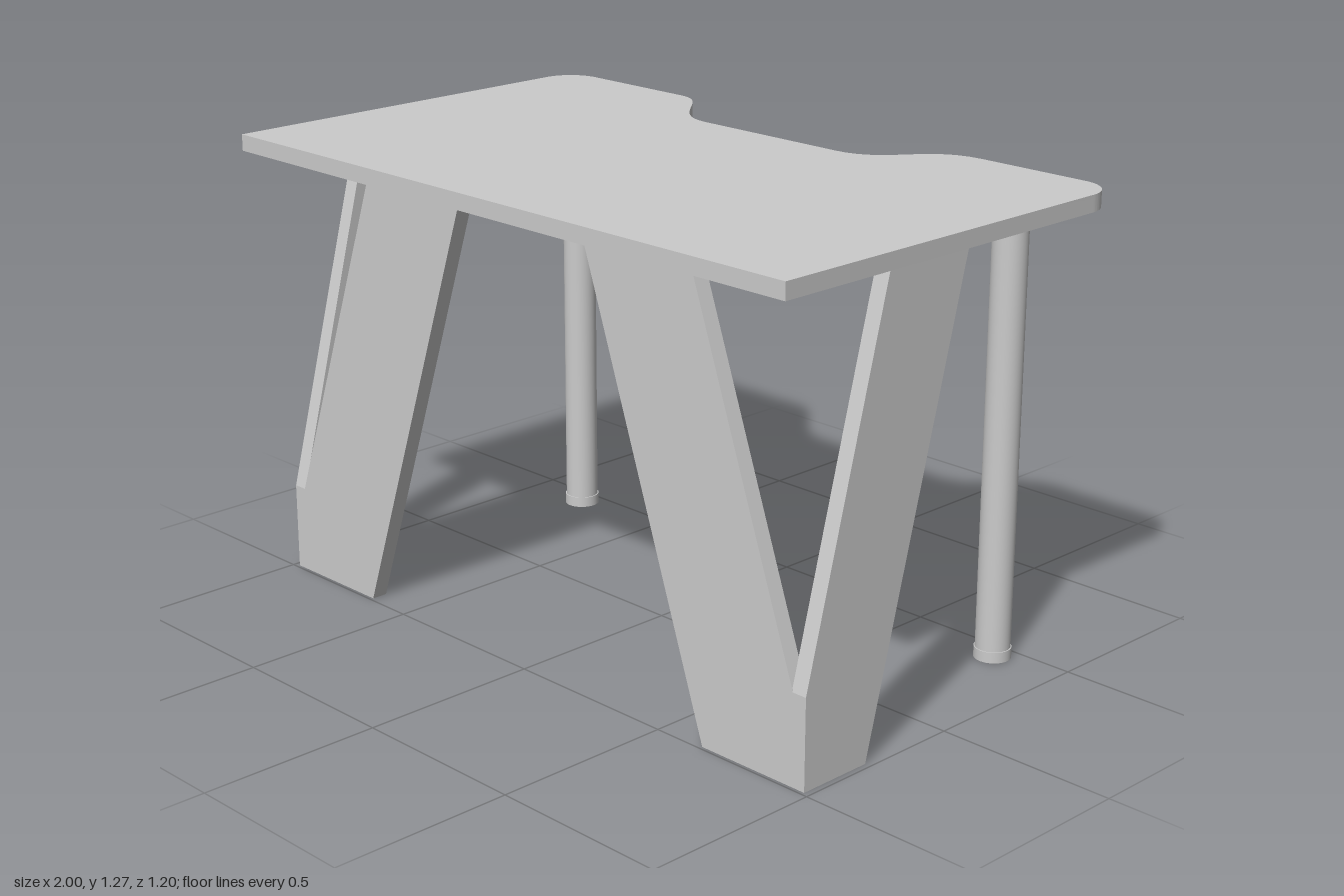
import * as THREE from 'three';
import { toCreasedNormals } from 'three/addons/utils/BufferGeometryUtils.js';

const material = new THREE.MeshStandardMaterial({ color: 0xcccccc });
const TOP_Y = 1.23, TOP_THICK = 0.045, PANEL = 0.045;

function addMesh(parent, name, geometry, x = 0, y = 0, z = 0) {
  const mesh = new THREE.Mesh(geometry, material);
  mesh.name = name;
  mesh.position.set(x, y, z);
  parent.add(mesh);
  return mesh;
}

function extrude(shape, depth) {
  return new THREE.ExtrudeGeometry(shape, { depth, bevelEnabled: false, curveSegments: 14 });
}

function polygon(points) {
  return new THREE.Shape(points.map(([x, y]) => new THREE.Vector2(x, y)));
}

// Desk top outline, drawn with the back edge towards +y
function tabletop() {
  const s = new THREE.Shape();
  s.moveTo(-1, -0.6);
  s.lineTo(1, -0.6);
  s.lineTo(1, 0.5);
  s.absarc(0.9, 0.5, 0.1, 0, Math.PI / 2);
  s.lineTo(0.57, 0.6);
  s.bezierCurveTo(0.38, 0.6, 0.42, 0.4, 0.24, 0.4);
  s.lineTo(-0.24, 0.4);
  s.bezierCurveTo(-0.38, 0.4, -0.42, 0.6, -0.53, 0.6);
  s.lineTo(-0.9, 0.6);
  s.absarc(-0.9, 0.5, 0.1, Math.PI / 2, Math.PI);
  s.closePath();
  return toCreasedNormals(extrude(s, TOP_THICK).rotateX(-Math.PI / 2), 0.6);
}

export function createModel() {
  const desk = new THREE.Group();
  desk.name = 'desk';
  addMesh(desk, 'tabletop', tabletop(), 0, TOP_Y, 0);

  for (const side of [1, -1]) {
    const label = side > 0 ? 'left' : 'right';

    // Splayed front leg: two slanted panels meeting at the front corner
    const frontLeg = new THREE.Group();
    frontLeg.name = label + 'FrontLeg';
    desk.add(frontLeg);
    const front = polygon([[0.645, 0], [0.94, 0], [0.94, 0.25], [0.592, TOP_Y], [0.222, TOP_Y]]
      .map(([x, y]) => [x * side, y]));
    addMesh(frontLeg, 'frontPanel', extrude(front, PANEL), 0, 0, 0.445);
    const flank = polygon([[0.274, 0], [0.49, 0], [0.49, 0.245], [0.232, TOP_Y], [-0.047, TOP_Y]]);
    addMesh(frontLeg, 'sidePanel', extrude(flank, PANEL).rotateY(-Math.PI / 2),
      side > 0 ? 0.983 : -0.938, 0, 0);

    // Round back leg with a slightly wider foot
    const backLeg = new THREE.Group();
    backLeg.name = label + 'BackLeg';
    backLeg.position.set(0.798 * side, 0, -0.439);
    desk.add(backLeg);
    addMesh(backLeg, 'post', new THREE.CylinderGeometry(0.047, 0.047, TOP_Y - 0.03, 32), 0, (TOP_Y + 0.03) / 2, 0);
    addMesh(backLeg, 'foot', new THREE.CylinderGeometry(0.05, 0.05, 0.03, 32), 0, 0.015, 0);
  }
  return desk;
}
